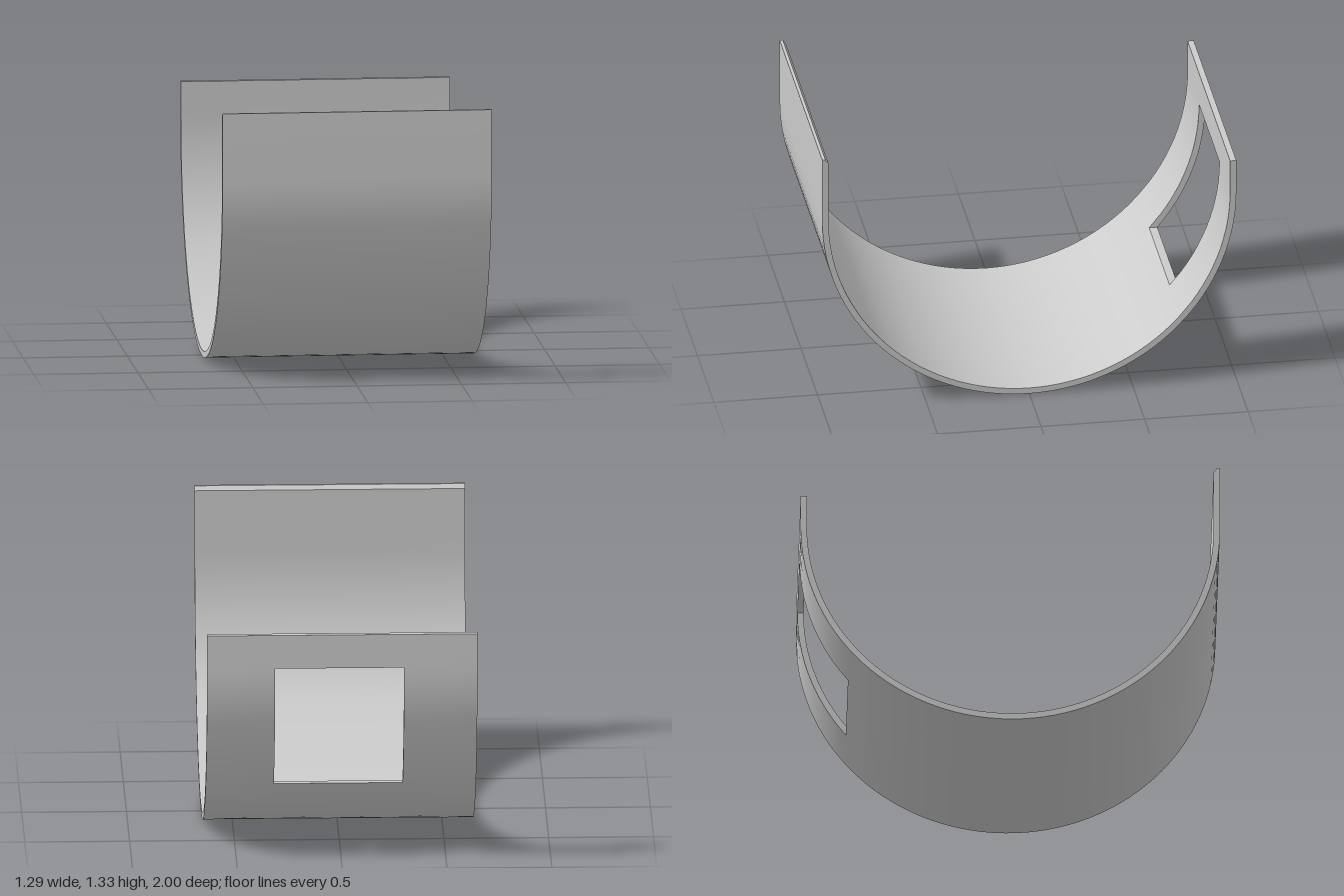
import * as THREE from 'three';
import { toCreasedNormals } from 'three/addons/utils/BufferGeometryUtils.js';

const R_OUT = 1, R_IN = 0.97, CENTRE_Y = 1, SILL_Y = 0.36;
const columns = [-0.645, -0.295, 0.32, 0.645]; // the window fills the middle column

// Stations along the U from front rim to back rim, each an outer and inner [z, y].
function profile() {
  const rad = THREE.MathUtils.degToRad;
  const arc = (r, a) => [r * Math.cos(a), CENTRE_Y - r * Math.sin(a)];
  const level = (r) => arc(r, Math.PI - Math.asin((CENTRE_Y - SILL_Y) / r));
  const stations = [
    [[1, 1.325], [0.985, 1.325]], // chamfered front rim
    [[1, 1.305], [R_IN, 1.305]],
  ];
  for (let a = 0; a <= 135; a += 3) stations.push([arc(R_OUT, rad(a)), arc(R_IN, rad(a))]);
  const sill = stations.length;
  stations.push([level(R_OUT), level(R_IN)]); // horizontal window sill
  for (let a = 144; a <= 180; a += 3) stations.push([arc(R_OUT, rad(a)), arc(R_IN, rad(a))]);
  const lintel = stations.length - 1;
  stations.push([[-1, 1.165], [-R_IN, 1.165]]); // straight back rim
  return { stations, sill, lintel };
}

// Wall made of cells; a face is added wherever a cell borders empty space.
function curvedWall() {
  const { stations, sill, lintel } = profile();
  const positions = [];
  const quad = (corners, flip) => {
    const [a, b, c, d] = flip ? [...corners].reverse() : corners;
    positions.push(...a, ...b, ...c, ...a, ...c, ...d);
  };
  const solid = (i, j) =>
    i >= 0 && i < stations.length - 1 && j >= 0 && j < columns.length - 1 &&
    !(j === 1 && i >= sill && i < lintel);
  const point = (i, j, side) => [columns[j], stations[i][side][1], stations[i][side][0]];

  for (let i = 0; i < stations.length - 1; i++) {
    for (let j = 0; j < columns.length - 1; j++) {
      if (!solid(i, j)) continue;
      // Outer and inner skins
      for (const s of [0, 1]) {
        quad([point(i + 1, j, s), point(i + 1, j + 1, s), point(i, j + 1, s), point(i, j, s)], s === 1);
      }
      // Side edges and window jambs
      for (const k of [0, 1]) {
        if (solid(i, j + (k ? 1 : -1))) continue;
        quad([point(i + 1, j + k, 0), point(i + 1, j + k, 1), point(i, j + k, 1), point(i, j + k, 0)], k === 0);
      }
      // Rims, sill and lintel
      for (const k of [0, 1]) {
        if (solid(i + (k ? 1 : -1), j)) continue;
        quad([point(i + k, j, 0), point(i + k, j + 1, 0), point(i + k, j + 1, 1), point(i + k, j, 1)], k === 1);
      }
    }
  }
  const geometry = new THREE.BufferGeometry();
  geometry.setAttribute('position', new THREE.Float32BufferAttribute(positions, 3));
  return toCreasedNormals(geometry, 0.4);
}

export function createModel() {
  const group = new THREE.Group();
  group.name = 'curvedBracket';
  const wall = new THREE.Mesh(curvedWall(), new THREE.MeshStandardMaterial({ color: 0xcccccc }));
  wall.name = 'curvedWallWithWindow';
  group.add(wall);
  return group;
}
